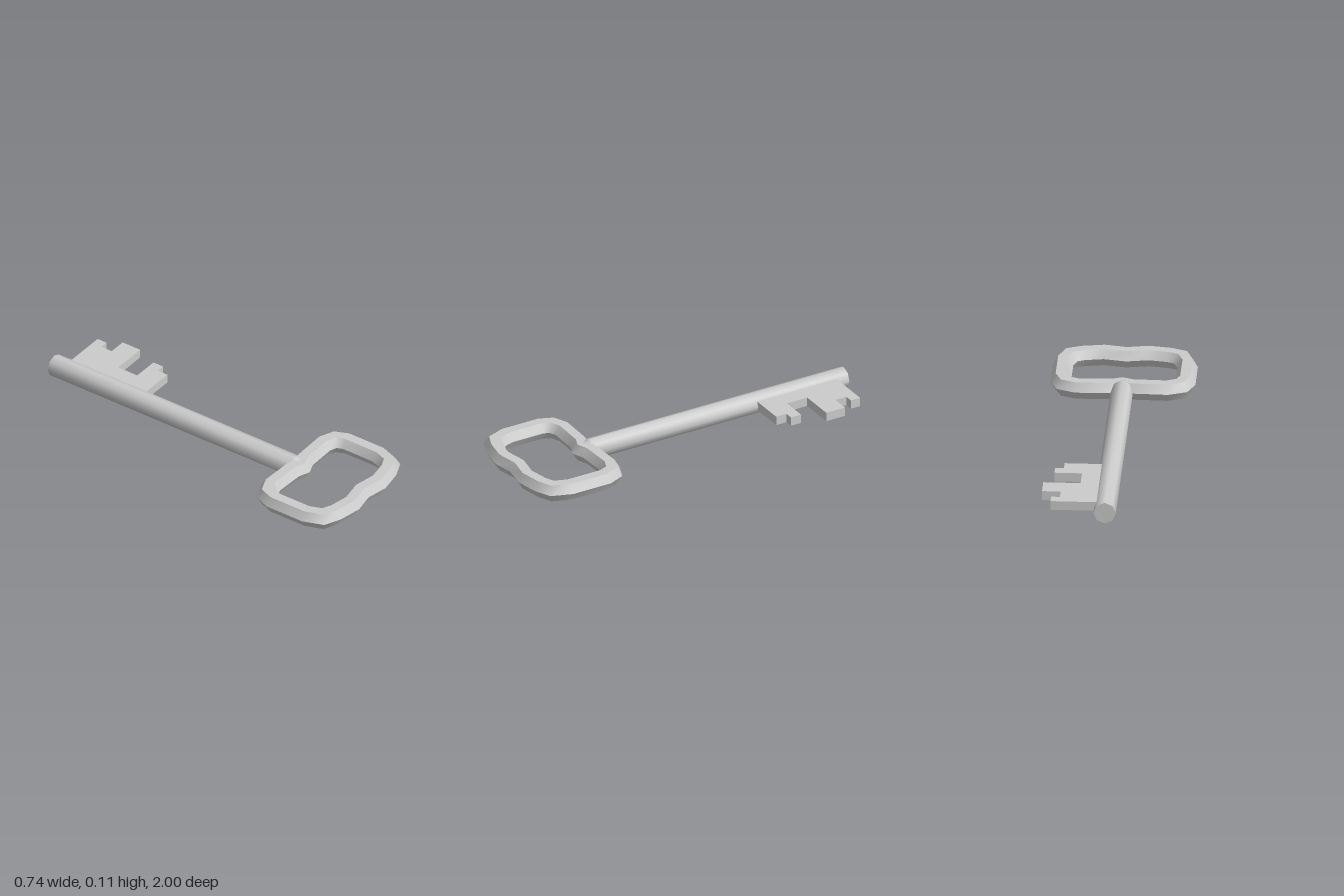
import * as THREE from 'three';
import { toCreasedNormals } from 'three/addons/utils/BufferGeometryUtils.js';

const MID = 0.057; // height of the key's centre plane

// Sweep a hexagonal section round a closed, mitred path of [x, z] points
function sweepLoop(path, radius, sides) {
  const pos = [], idx = [], n = path.length;
  const dir = (p, q) => new THREE.Vector2(q[0] - p[0], q[1] - p[1]).normalize();
  for (let i = 0; i < n; i++) {
    const d0 = dir(path[(i + n - 1) % n], path[i]);
    const d1 = dir(path[i], path[(i + 1) % n]);
    const t = d0.clone().add(d1).normalize();
    const mitre = 1 / t.dot(d1);
    for (let j = 0; j < sides; j++) {
      const a = (j / sides) * Math.PI * 2;
      const out = Math.cos(a) * radius * mitre;
      pos.push(path[i][0] + t.y * out, Math.sin(a) * radius, path[i][1] - t.x * out);
      const k = (j + 1) % sides, m = (i + 1) % n;
      const A = i * sides + j, B = i * sides + k, C = m * sides + j, D = m * sides + k;
      idx.push(A, B, C, B, D, C);
    }
  }
  const g = new THREE.BufferGeometry();
  g.setAttribute('position', new THREE.Float32BufferAttribute(pos, 3));
  g.setIndex(idx);
  return toCreasedNormals(g, 0.9);
}

export function createModel() {
  const key = new THREE.Group();
  key.name = 'key';
  const material = new THREE.MeshStandardMaterial({ color: 0xcccccc });
  const add = (name, geometry) => {
    const mesh = new THREE.Mesh(geometry, material);
    mesh.name = name;
    key.add(mesh);
    return mesh;
  };

  // Bow: half the handle outline, mirrored into a closed ring
  const half = [
    [0, 0.548], [0.05, 0.528], [0.227, 0.523], [0.292, 0.55], [0.317, 0.61],
    [0.317, 0.815], [0.288, 0.896], [0.225, 0.924], [0.115, 0.944], [0, 0.922],
  ];
  const mirrored = half.slice(1, -1).reverse().map(([x, z]) => [-x, z]);
  add('bow', sweepLoop([...half, ...mirrored], 0.052, 6)).position.y = MID;

  // Shaft: eight-sided rod, with a short taper sinking into the bow
  const rod = (name, rBack, rFront, z0, z1) => {
    const g = new THREE.CylinderGeometry(rFront, rBack, z1 - z0, 8).rotateX(Math.PI / 2);
    add(name, toCreasedNormals(g, 0.9)).position.set(0, MID, (z0 + z1) / 2);
  };
  rod('shaft', MID, MID, -1, 0.51);
  rod('shaftTaper', MID, 0.036, 0.51, 0.57);

  // Bit: notched flat plate on the +x side
  const outline = [
    [0.03, -0.93], [0.28, -0.93], [0.28, -0.875], [0.235, -0.875], [0.235, -0.81],
    [0.33, -0.81], [0.33, -0.7], [0.14, -0.7], [0.14, -0.58], [0.28, -0.58],
    [0.28, -0.52], [0.235, -0.52], [0.235, -0.46], [0.03, -0.46],
  ];
  const shape = new THREE.Shape(outline.map(([x, z]) => new THREE.Vector2(x, -z)));
  const plate = new THREE.ExtrudeGeometry(shape, { depth: 0.048, bevelEnabled: false });
  add('bit', plate.rotateX(-Math.PI / 2)).position.y = 0.037;

  return key;
}
